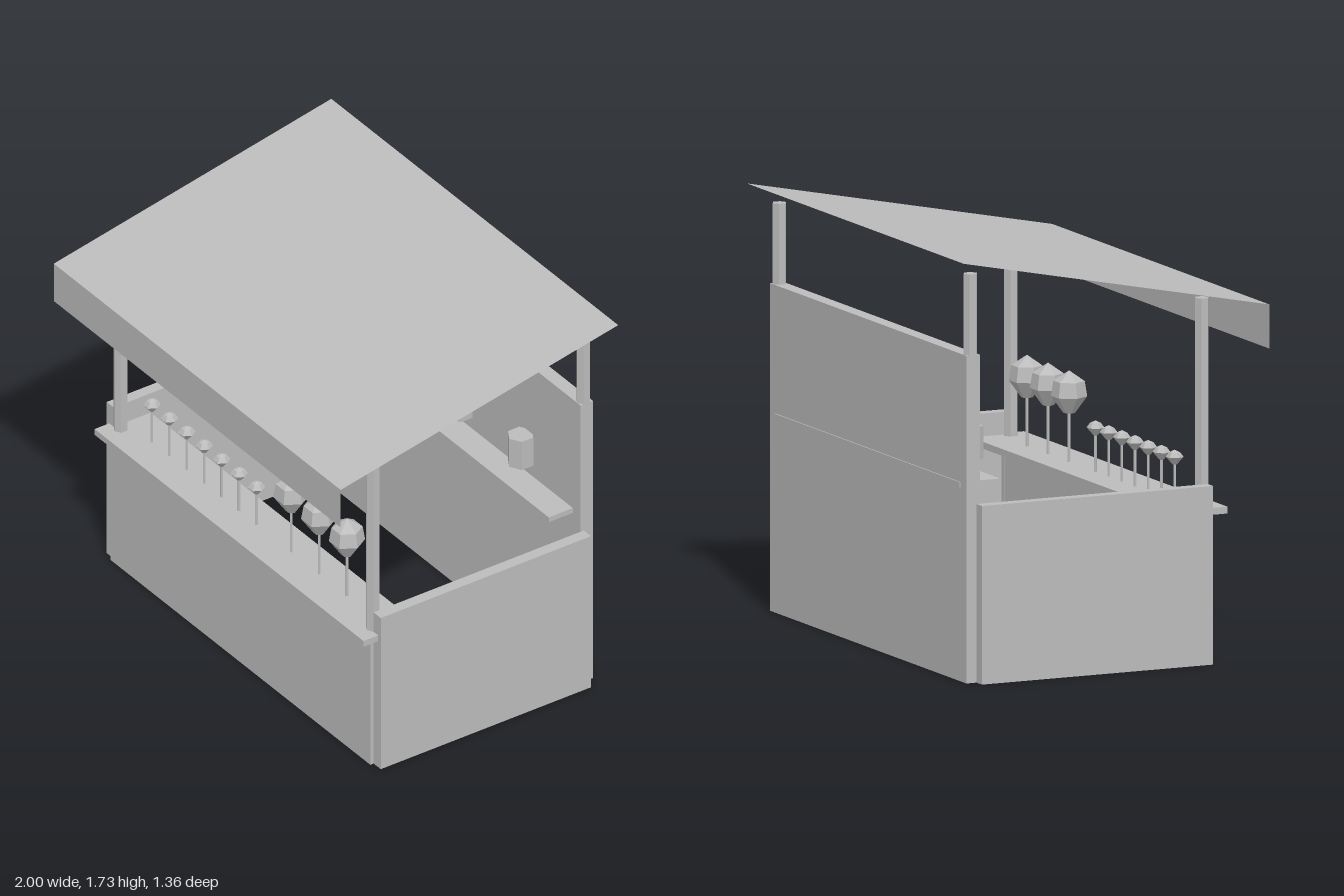
import * as THREE from 'three';

export function createModel() {
  const model = new THREE.Group();
  model.name = 'marketStall';
  const grey = new THREE.MeshStandardMaterial({ color: 0xbcbcbc, flatShading: true, side: THREE.DoubleSide });
  grey.name = 'plain grey';

  function add(name, geometry, parent = model) {
    const mesh = new THREE.Mesh(geometry, grey);
    mesh.name = name;
    parent.add(mesh);
    return mesh;
  }

  // Box given by its lower and upper limits on each axis
  function box(name, x0, x1, y0, y1, z0, z1) {
    const mesh = add(name, new THREE.BoxGeometry(x1 - x0, y1 - y0, z1 - z0));
    mesh.position.set((x0 + x1) / 2, (y0 + y1) / 2, (z0 + z1) / 2);
    return mesh;
  }

  // Upright six-sided prism
  function prism(name, r, y0, y1, x, z, parent) {
    const mesh = add(name, new THREE.CylinderGeometry(r, r, y1 - y0, 6), parent);
    mesh.position.set(x, (y0 + y1) / 2, z);
    return mesh;
  }

  // Walls, counter and shelf
  box('frontWall', -0.905, 0.905, 0, 0.62, 0.407, 0.466);
  box('backWall', -0.905, 0.905, 0, 1.335, -0.625, -0.565);
  box('counter', -0.937, 0.937, 0.607, 0.635, 0.27, 0.522);
  box('shelf', -0.85, 0.85, 0.789, 0.812, -0.63, -0.447);

  // Side panels and corner posts
  for (const side of [-1, 1]) {
    const panel = box('sidePanel', -0.025, 0.025, 0, 0.728, -0.58, 0.45);
    panel.position.x = side * 0.93;
    prism('frontPost', 0.03, 0.01, 1.485, side * 0.879, 0.436);
    prism('backPost', 0.03, 0.01, 1.665, side * 0.879, -0.595);
  }

  // Sloping roof sheet folded down into a front valance
  const section = [[1.73, -0.682], [1.457, 0.678], [1.277, 0.678]];
  const corners = [];
  for (let i = 0; i < 2; i++) {
    const [ya, za] = section[i], [yb, zb] = section[i + 1];
    corners.push(-1, ya, za, -1, yb, zb, 1, yb, zb, -1, ya, za, 1, yb, zb, 1, ya, za);
  }
  const roof = new THREE.BufferGeometry();
  roof.setAttribute('position', new THREE.Float32BufferAttribute(corners, 3));
  roof.computeVertexNormals();
  add('roof', roof);

  // Jars along the back wall
  [-0.728, -0.31, 0.12, 0.543].forEach((x, i) => {
    prism('jar', 0.056, 0.88, 1.015, x, -0.525).rotation.y = i === 0 ? Math.PI / 6 : 0;
  });

  // Sweets on sticks, standing on the counter
  function sweet(name, profile, x, turn) {
    const group = new THREE.Group();
    group.name = name;
    group.position.set(x, 0, 0.387);
    const points = profile.map(([r, y]) => new THREE.Vector2(r, y));
    add('head', new THREE.LatheGeometry(points, 6), group).rotation.y = turn;
    prism('stick', 0.006, 0.625, profile[0][1] + 0.01, 0, 0, group);
    model.add(group);
  }
  const small = [[0, 0.783], [0.009, 0.784], [0.036, 0.815], [0.022, 0.834], [0, 0.844]];
  const big = [[0, 0.834], [0.024, 0.835], [0.073, 0.903], [0.063, 0.965], [0, 1.008]];
  for (let i = 0; i < 7; i++) sweet('smallSweet', small, -0.73 + i * 0.1215, Math.PI / 6);
  for (let i = 0; i < 3; i++) sweet('bigSweet', big, 0.242 + i * 0.194, Math.PI / 6);

  return model;
}
